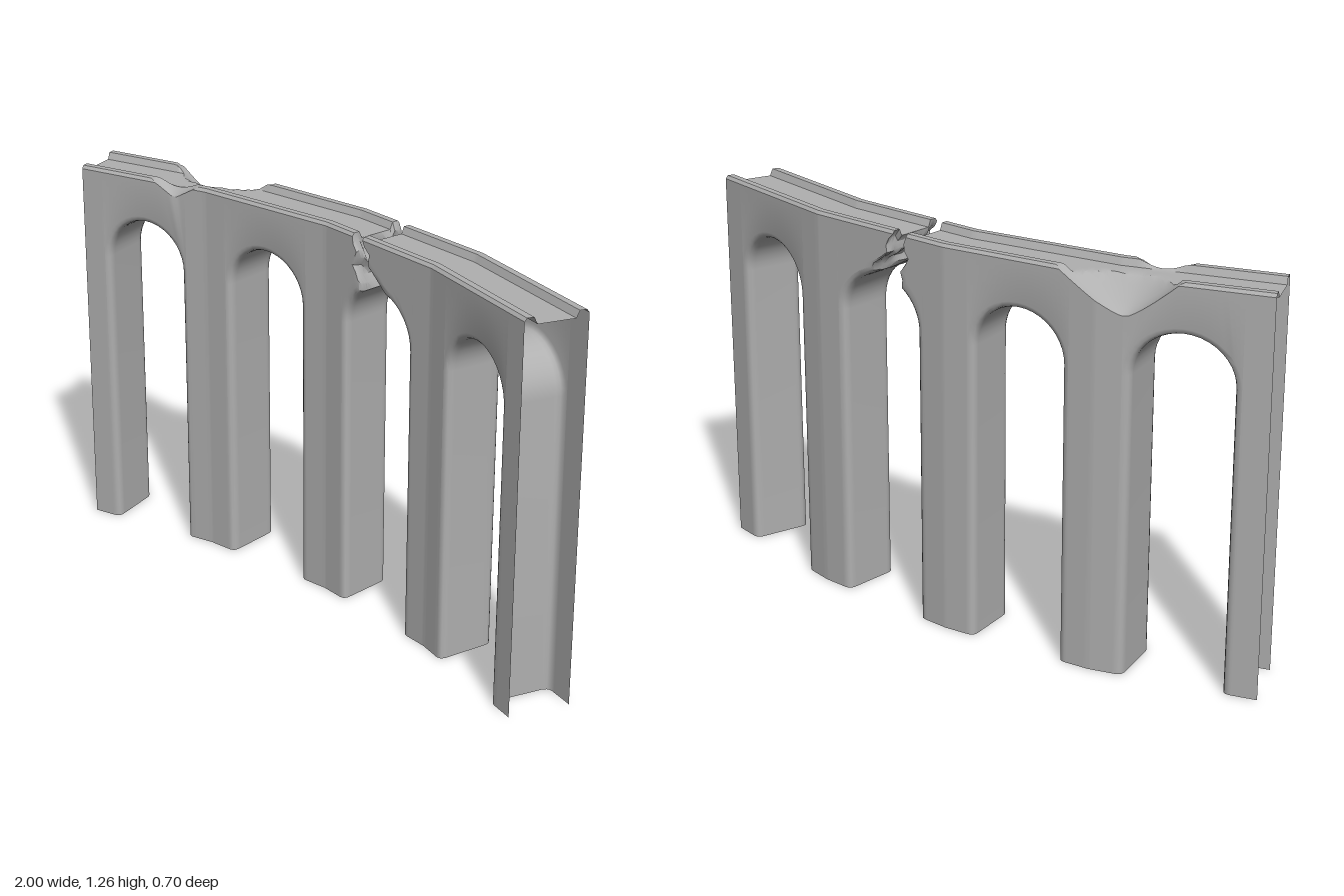
import * as THREE from 'three';
import { mergeGeometries, toCreasedNormals } from 'three/addons/utils/BufferGeometryUtils.js';

// Plan of the curved wall: [front x, front z, back x, back z] at each bay boundary
const PLAN = [
  [-0.985, -0.155, -1.0, -0.355],
  [-0.5, -0.155, -0.47, -0.355],
  [0.0, -0.07, 0.04, -0.26],
  [0.46, 0.10, 0.54, -0.08],
  [0.88, 0.345, 1.0, 0.185],
];
const HALF = 0.296;    // half width of an opening, as a fraction of its bay
const SPRING = 0.96;   // height where the arches begin
const RISE = 0.145;
const ROUND = 0.02;    // rounding of the opening edges
const BAY = 0.49;
const DEPTHS = [0, 0.015, 0.04, 0.1, 0.15, 0.2, 0.3, 0.4, 0.5, 0.6, 0.7, 0.8, 0.85, 0.9, 0.96, 0.985, 1];

const lerp = THREE.MathUtils.lerp;

function planPoint(bay, u, t) {
  const a = PLAN[bay], b = PLAN[bay + 1];
  const at = (i) => lerp(lerp(a[i], b[i], u), lerp(a[i + 2], b[i + 2], u), t);
  return [at(0), at(1)];
}

// How far the opening widens towards the wall faces
function flare(t) {
  const w = Math.min(1, Math.min(t, 1 - t) * 0.2 / ROUND);
  return ROUND * (1 - Math.sqrt(1 - (1 - w) ** 2));
}

// Top of the wall: two rims, a shallow channel, and two broken notches
function topHeight(x, z, t) {
  const w = Math.min(t, 1 - t);
  let y = w < 0.04 ? lerp(1.25, 1.26, w / 0.04)
    : w < 0.15 ? 1.26 : lerp(1.26, 1.238, Math.min(1, (w - 0.15) / 0.05));
  const notch = (cx, cz, rx, rz, low, power) => {
    const e = Math.hypot((x - cx) / rx, (z - cz) / rz);
    y = Math.min(y, low + (1.26 - low) * e ** power);
  };
  notch(-0.56, -0.365, x < -0.56 ? 0.17 : 0.23, 0.135, 1.135, 1.2);
  notch(-0.62, -0.155, 0.09, 0.05, 1.21, 1);
  return y;
}

// Turn a rule f(i, j) -> [x, y, z] into a grid of faces
function grid(as, bs, f, flip = false) {
  const pos = [], index = [], n = bs.length;
  as.forEach((a) => bs.forEach((b) => pos.push(...f(a, b))));
  for (let i = 0; i < as.length - 1; i++) {
    for (let j = 0; j < n - 1; j++) {
      const p = i * n + j, q = p + n;
      if (flip) index.push(p, p + 1, q, q, p + 1, q + 1);
      else index.push(p, q, p + 1, q, q + 1, p + 1);
    }
  }
  const g = new THREE.BufferGeometry();
  g.setAttribute('position', new THREE.Float32BufferAttribute(pos, 3));
  g.setIndex(index);
  return g;
}

const steps = (n) => Array.from({ length: n + 1 }, (_, i) => i / n);

// Front face, back face and top of a panel given by point(k, v, t)
function skin(point, cols, rows) {
  const K = steps(cols), V = steps(rows);
  return [
    grid(K, V, (k, v) => point(k, v, 0)),
    grid(K, V, (k, v) => point(k, v, 1), true),
    grid(K, DEPTHS, (k, t) => point(k, 1, t)),
  ];
}

// Half pier beside an opening; side -1 is before it, +1 after it
function halfPier(bay, side) {
  const edge = (t) => 0.5 + side * (HALF + flare(t) / BAY);
  const point = (k, v, t) => {
    const u = side < 0 ? k * edge(t) : lerp(edge(t), 1, k);
    const [x, z] = planPoint(bay, u, t);
    return [x, v * topHeight(x, z, t), z];
  };
  const reveal = (v, t) => {
    const [x, z] = planPoint(bay, edge(t), t);
    return [x, v * SPRING, z];
  };
  return [...skin(point, 10, 1), grid([0, 1], DEPTHS, reveal, side < 0)];
}

// Wall over an opening between two angles; broken is -1 or +1 for a piece beside the crack
function archPanel(bay, broken = 0) {
  const point = (k, v, t) => {
    const d = flare(t), a = HALF + d / BAY;
    let from = 0, to = Math.PI, topFrom = 0.5 - a, topTo = 0.5 + a;
    if (broken < 0) { to = 0.97; topTo = 0.262 + 0.02 * t; }
    if (broken > 0) { from = 1.8 + 0.26 * t; topFrom = 0.358 + 0.025 * t; }
    const angle = lerp(from, to, k);
    const uLow = 0.5 - a * Math.cos(angle);
    const yLow = SPRING + (RISE + d) * Math.sin(angle);
    const near = broken < 0 ? k : broken > 0 ? 1 - k : 0;
    const s = broken > 0 ? lerp(v, v ** 0.6, near) : v;
    const jag = near ** 3 * 0.12 * Math.sin(11 * v + 5 * t) * v * (1 - v);
    const u = lerp(uLow, lerp(topFrom, topTo, k), s) + jag;
    const [x, z] = planPoint(bay, u, t);
    return [x, lerp(yLow, topHeight(x, z, t), v), z];
  };
  const cols = broken ? 8 : 20, rows = broken ? 7 : 1;
  const parts = [
    ...skin(point, cols, rows),
    grid(steps(cols), DEPTHS, (k, t) => point(k, 0, t), true),
  ];
  // Rough face of the crack
  if (broken) {
    const k = broken < 0 ? 1 : 0;
    parts.push(grid(DEPTHS, steps(rows), (t, v) => point(k, v, t), broken > 0));
  }
  return parts;
}

const wholeBay = (bay) => [...halfPier(bay, -1), ...archPanel(bay), ...halfPier(bay, 1)];

export function createModel() {
  const stone = new THREE.MeshStandardMaterial({ color: 0xb0b0b0, side: THREE.DoubleSide });
  stone.name = 'grey stone';

  const group = new THREE.Group();
  group.name = 'brokenArcade';
  const add = (name, parts) => {
    const mesh = new THREE.Mesh(toCreasedNormals(mergeGeometries(parts), 0.6), stone);
    mesh.name = name;
    group.add(mesh);
  };

  // The crack through the third arch divides the wall in two
  add('longWallSection', [...wholeBay(0), ...wholeBay(1), ...halfPier(2, -1), ...archPanel(2, -1)]);
  add('shortWallSection', [...archPanel(2, 1), ...halfPier(2, 1), ...wholeBay(3)]);
  return group;
}
